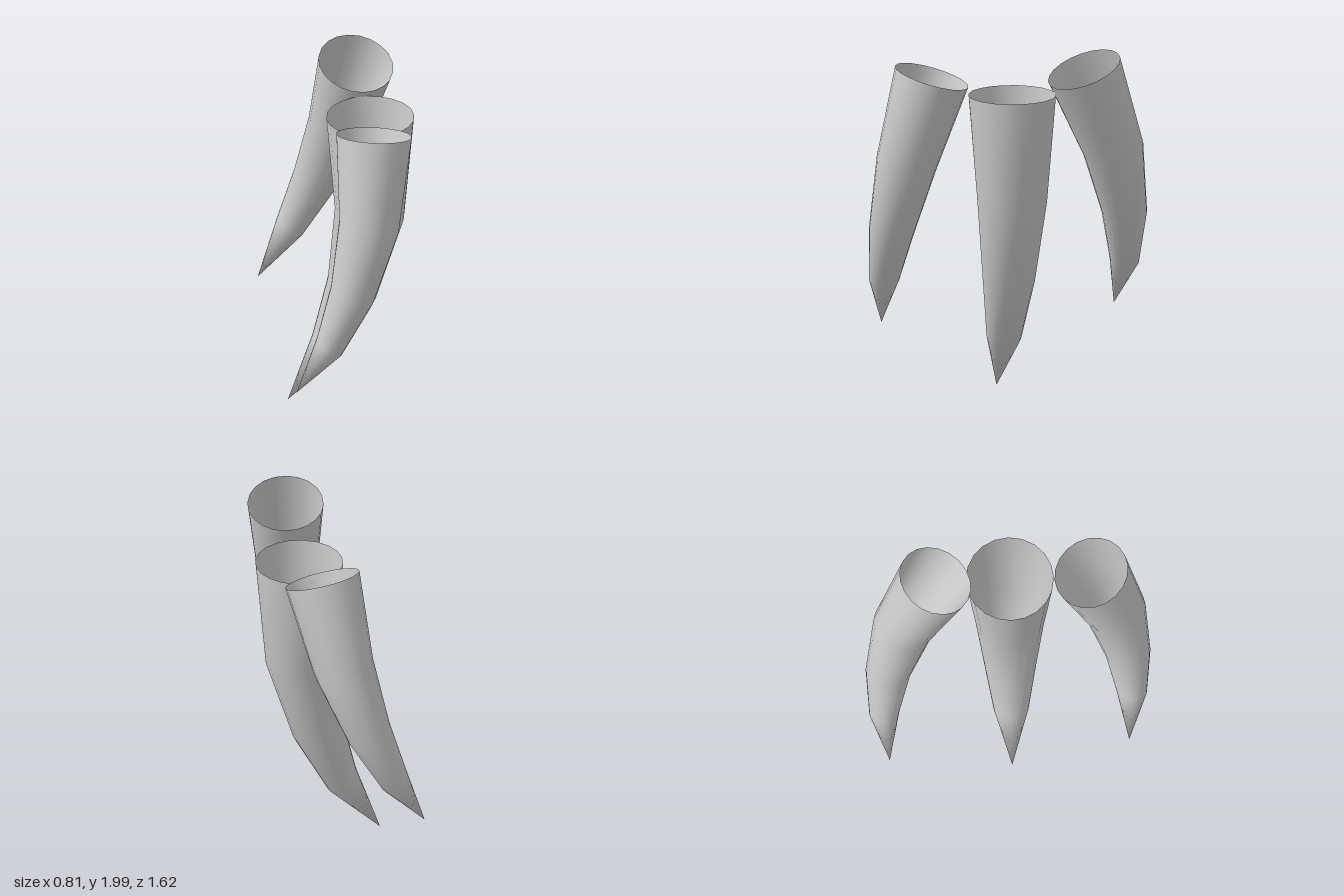
import * as THREE from 'three';
import { mergeVertices } from 'three/addons/utils/BufferGeometryUtils.js';

// Rings of one claw, root to tip: centre x, centre y, radius, tilt
const RINGS = [
  [0, 0, 0.25, 0],
  [-0.005, -0.61, 0.2, 0.17],
  [-0.105, -1.085, 0.15, 0.42],
  [-0.25, -1.45, 0.1, 0.64],
  [-0.47, -1.79, 0, 0.7],
];

// Hollow curved claw, open at the root, which sits at the origin
function clawGeometry() {
  const rows = RINGS.length - 1;
  const geo = new THREE.CylinderGeometry(1, 0, 1, 20, rows, true);
  const { position, uv } = geo.attributes;
  for (let i = 0; i < position.count; i++) {
    const [cx, cy, r, tilt] = RINGS[Math.round((1 - uv.getY(i)) * rows)];
    const a = uv.getX(i) * Math.PI * 2;
    const across = Math.sin(a) * r;
    position.setXYZ(i, cx + across * Math.cos(tilt), cy - across * Math.sin(tilt), Math.cos(a) * r);
  }
  // Weld the seam so the shading runs smoothly around
  geo.deleteAttribute('uv');
  geo.deleteAttribute('normal');
  const welded = mergeVertices(geo, 1e-4);
  welded.computeVertexNormals();
  return welded;
}

// root: centre of the opening, up: its normal, bend: direction the tip curves to
const CLAWS = [
  { name: 'middleClaw', root: [0.15, 1.8, 0.03], up: [0, 1, 0], bend: [-1, 0, -0.03], scale: 1 },
  { name: 'frontClaw', root: [0.115, 1.922, 0.49], up: [0.08, 0.96, -0.263], bend: [-0.331, -0.037, -0.211], scale: 0.865 },
  { name: 'rearClaw', root: [0.12, 1.92, -0.395], up: [0.148, 0.93, 0.365], bend: [-0.296, -0.053, 0.269], scale: 0.865 },
];

export function createModel() {
  const group = new THREE.Group();
  group.name = 'claws';
  const geometry = clawGeometry();
  const material = new THREE.MeshStandardMaterial({ color: 0xcccccc, side: THREE.DoubleSide });

  for (const { name, root, up, bend, scale } of CLAWS) {
    const claw = new THREE.Mesh(geometry, material);
    claw.name = name;
    const y = new THREE.Vector3(...up).normalize();
    const z = new THREE.Vector3(...bend).negate().cross(y).normalize();
    const x = y.clone().cross(z);
    claw.quaternion.setFromRotationMatrix(new THREE.Matrix4().makeBasis(x, y, z));
    claw.position.set(...root);
    claw.scale.setScalar(scale);
    group.add(claw);
  }
  return group;
}
